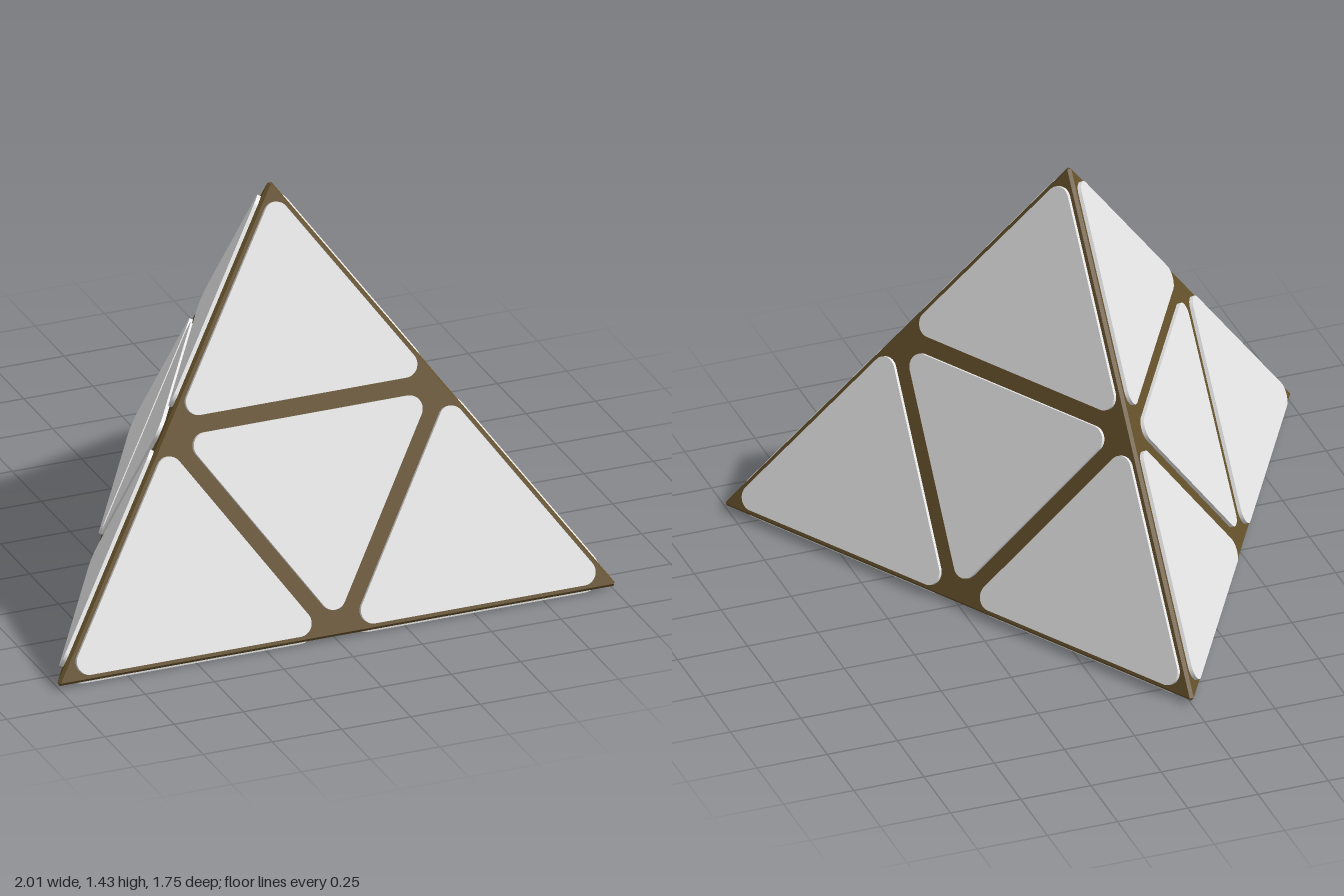
import * as THREE from 'three';
import { ConvexGeometry } from 'three/addons/geometries/ConvexGeometry.js';

const R = 1.178, BASE_Y = 0.013, CENTRE_Z = 0.28; // sharp tetrahedron
const BEVEL = 0.012, RAISE = 0.013, SINK = 0.006; // frame edge, panel height and depth
const OUTER = 0.025, INNER = 0.03, ROUND = 0.045; // panel margins and corner radius

// Local axes of a triangle whose corners run anticlockwise seen from outside
function faceMatrix([a, b, c]) {
  const u = b.clone().sub(a).normalize();
  const n = u.clone().cross(c.clone().sub(a)).normalize();
  return new THREE.Matrix4().makeBasis(u, n.clone().cross(u), n).setPosition(a);
}

// Corners of a flat triangle after moving each edge inward by its own margin
function insetCorners(pts, margins) {
  const lines = pts.map((p, i) => {
    const d = pts[(i + 1) % 3].clone().sub(p).normalize();
    const n = new THREE.Vector2(d.y, -d.x);
    return { n, c: n.dot(p) - margins[i] };
  });
  return pts.map((_, i) => {
    const e = lines[(i + 2) % 3], f = lines[i];
    const det = e.n.x * f.n.y - e.n.y * f.n.x;
    return {
      p: new THREE.Vector2((e.c * f.n.y - f.c * e.n.y) / det, (e.n.x * f.c - f.n.x * e.c) / det),
      from: e.n.angle(), to: f.n.angle(),
    };
  });
}

function flatten(tri, matrix) {
  const inverse = matrix.clone().invert();
  return tri.map((p) => {
    const q = p.clone().applyMatrix4(inverse);
    return new THREE.Vector2(q.x, q.y);
  });
}

// Raised triangular panel with rounded corners
function panelGeometry(tri, margins) {
  const matrix = faceMatrix(tri);
  const shape = new THREE.Shape();
  for (const { p, from, to } of insetCorners(flatten(tri, matrix), margins.map((m) => m + ROUND))) {
    shape.absarc(p.x, p.y, ROUND, from, to, false);
  }
  shape.closePath();
  const geometry = new THREE.ExtrudeGeometry(shape, {
    depth: RAISE + SINK, bevelEnabled: false, curveSegments: 10,
  });
  return geometry.translate(0, 0, -SINK).applyMatrix4(matrix);
}

export function createModel() {
  const model = new THREE.Group();
  model.name = 'tetrahedronPuzzle';
  const bronze = new THREE.MeshStandardMaterial({ color: 0x64502a });
  bronze.name = 'bronze brown';
  const white = new THREE.MeshStandardMaterial({ color: 0xf0f0f0 });
  white.name = 'soft white';

  const apex = new THREE.Vector3(0, 1.452, CENTRE_Z);
  const [left, back, right] = [30, 270, 150].map((deg) => {
    const a = THREE.MathUtils.degToRad(deg);
    return new THREE.Vector3(R * Math.cos(a), BASE_Y, CENTRE_Z + R * Math.sin(a));
  });
  const faces = {
    front: [right, left, apex],
    leftSide: [left, back, apex],
    rightSide: [back, right, apex],
    bottom: [left, right, back],
  };

  // Frame: solid tetrahedron with bevelled edges and blunt tips
  const hull = [];
  for (const tri of Object.values(faces)) {
    const matrix = faceMatrix(tri);
    for (const { p } of insetCorners(flatten(tri, matrix), [BEVEL, BEVEL, BEVEL])) {
      hull.push(new THREE.Vector3(p.x, p.y, 0).applyMatrix4(matrix));
    }
  }
  const frame = new THREE.Mesh(new ConvexGeometry(hull), bronze);
  frame.name = 'frame';
  model.add(frame);

  // Edge midpoints, a touch higher on the sloping edges
  const middle = (p, q) => p.clone().lerp(q, q === apex ? 0.505 : p === apex ? 0.495 : 0.5);

  // Panels: three corner triangles and one inverted centre triangle per face
  for (const [faceName, [a, b, c]] of Object.entries(faces)) {
    const face = new THREE.Group();
    face.name = `${faceName}Panels`;
    const ab = middle(a, b), bc = middle(b, c), ca = middle(c, a);
    const corner = [OUTER, INNER, OUTER];
    const panels = [
      ['cornerPanel1', [a, ab, ca], corner],
      ['cornerPanel2', [b, bc, ab], corner],
      ['cornerPanel3', [c, ca, bc], corner],
      ['centrePanel', [ab, bc, ca], [INNER, INNER, INNER]],
    ];
    for (const [name, tri, margins] of panels) {
      const panel = new THREE.Mesh(panelGeometry(tri, margins), white);
      panel.name = name;
      face.add(panel);
    }
    model.add(face);
  }
  return model;
}
